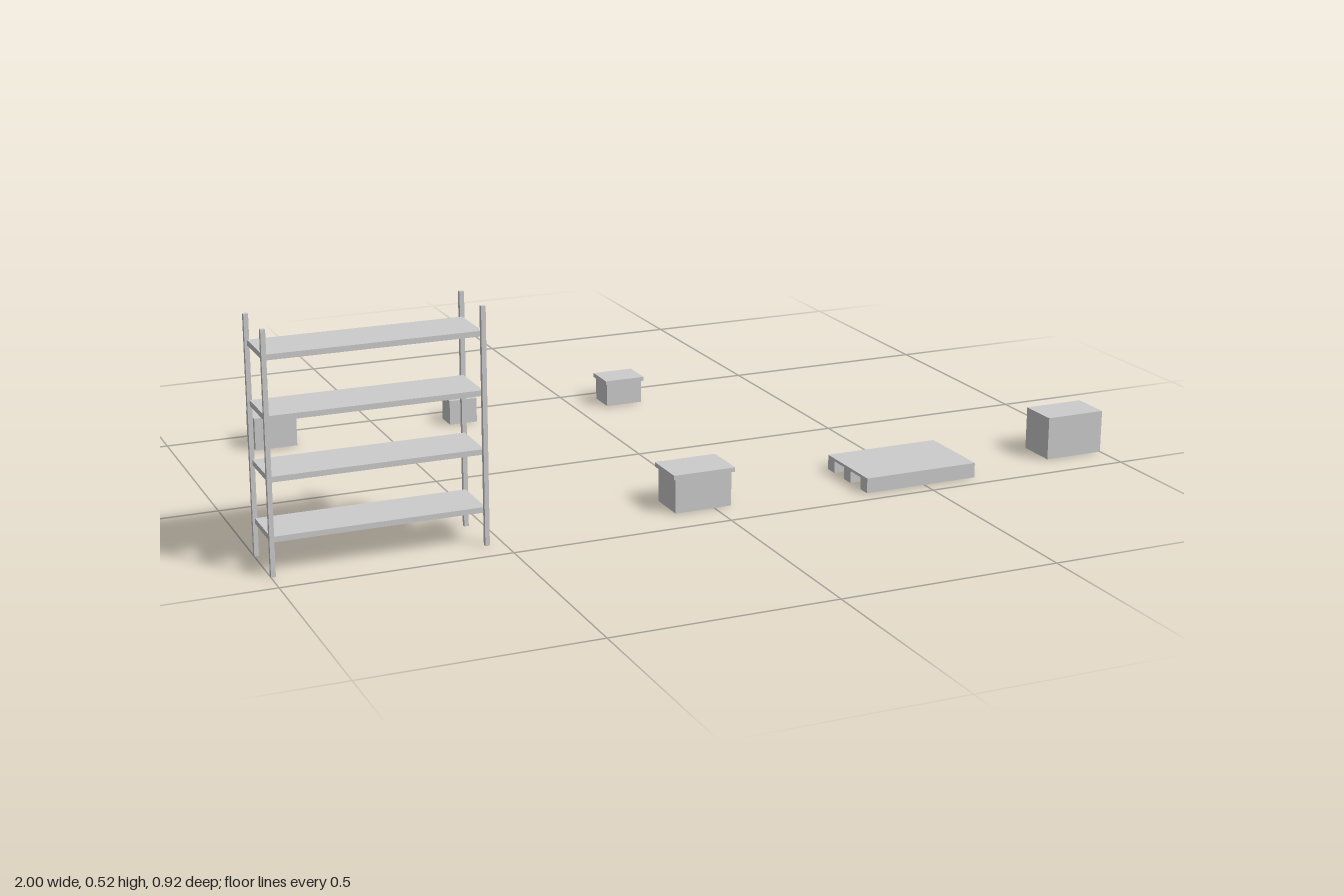
import * as THREE from 'three';

export function createModel() {
  const model = new THREE.Group();
  const grey = new THREE.MeshStandardMaterial({ color: 0xcccccc });
  grey.name = 'plain grey';

  // box given by its extents on each axis
  function block(parent, name, [x0, x1], [y0, y1], [z0, z1]) {
    const mesh = new THREE.Mesh(new THREE.BoxGeometry(x1 - x0, y1 - y0, z1 - z0), grey);
    mesh.position.set((x0 + x1) / 2, (y0 + y1) / 2, (z0 + z1) / 2);
    mesh.name = name;
    parent.add(mesh);
  }

  function group(name) {
    const g = new THREE.Group();
    g.name = name;
    model.add(g);
    return g;
  }

  // box with an overhanging lid; x and z are the lid extents
  function liddedBox(name, x, z, height, lid, inset) {
    const g = group(name);
    const shrink = ([a, b]) => [a + inset, b - inset];
    block(g, 'boxBody', shrink(x), [0, height - lid], shrink(z));
    block(g, 'boxLid', x, [height - lid, height], z);
  }

  // shelving rack: four posts and four shelves
  const rack = group('shelvingRack');
  for (const x of [-1, -0.541]) {
    for (const z of [0.2975, 0.4295]) {
      block(rack, 'rackPost', [x, x + 0.01], [0, 0.518], [z, z + 0.01]);
    }
  }
  for (let i = 0; i < 4; i++) {
    const y = 0.071 + i * 0.127;
    block(rack, 'rackShelf', [-0.995, -0.536], [y, y + 0.012], [0.307, 0.43]);
  }

  // pallet: deck on three runners
  const pallet = group('pallet');
  block(pallet, 'palletDeck', [0.354, 0.631], [0.028, 0.0345], [0.275, 0.46]);
  for (const z of [0.275, 0.352, 0.429]) {
    block(pallet, 'palletRunner', [0.354, 0.631], [0, 0.028], [z, z + 0.031]);
  }

  // boxes with lids
  liddedBox('largeLiddedBox', [-0.099, 0.047], [0.315, 0.419], 0.089, 0.01, 0.006);
  liddedBox('smallLiddedBox', [0.075, 0.177], [-0.46, -0.379], 0.066, 0.01, 0.005);

  // plain boxes
  block(model, 'largeBox', [0.855, 1], [0, 0.1], [0.321, 0.415]);
  block(model, 'mediumBox', [-0.817, -0.716], [0, 0.078], [-0.458, -0.383]);
  block(model, 'smallBox', [-0.331, -0.262], [0, 0.06], [-0.448, -0.392]);

  return model;
}
